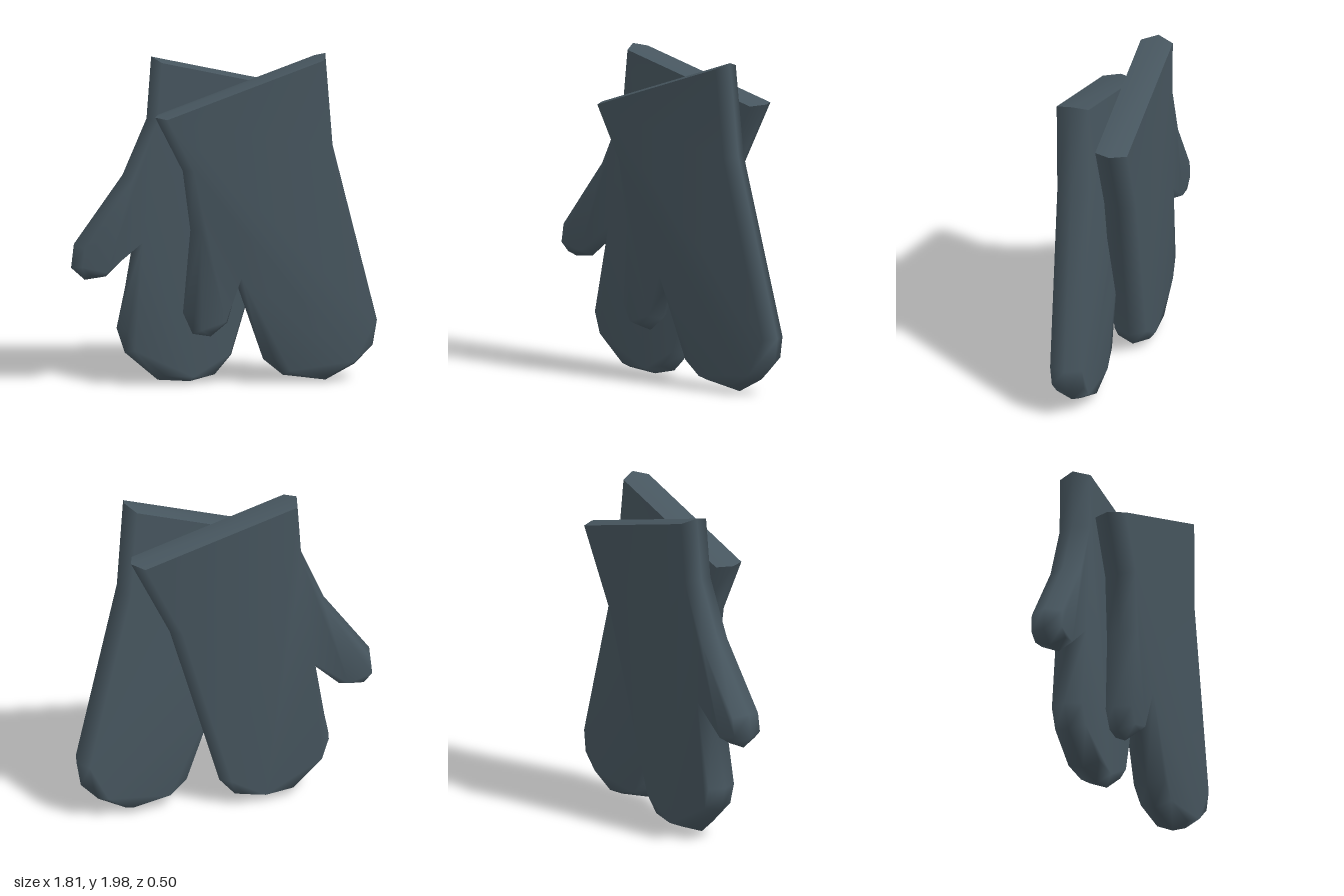
import * as THREE from 'three';

// Ridge outline of one mitten, counter-clockwise; the last edge is the cuff
const OUTLINE = [
  [-0.45, 1.64], [-0.28, 1.31], [-0.23, 0.95], [-0.27, 0.45], [-0.21, 0.32],
  [-0.10, 0.30], [0.0, 0.38], [0.06, 0.60], [0.22, 0.15], [0.34, 0.05],
  [0.60, 0.01], [0.775, 0.10], [0.885, 0.21], [0.91, 0.36], [0.63, 1.43], [0.58, 1.99],
].map(([x, y]) => new THREE.Vector2(x, y));

const HALF = 0.097; // half thickness
const SIDE_INSET = 0.04;
const CUFF_INSET = 0.015;

// Shrinks the outline, with a smaller inset along the cuff
function insetOutline(points) {
  const n = points.length;
  return points.map((p, i) => {
    const a = p.clone().sub(points[(i + n - 1) % n]).normalize();
    const b = points[(i + 1) % n].clone().sub(p).normalize();
    const da = i === 0 ? CUFF_INSET : SIDE_INSET;
    const db = i === n - 1 ? CUFF_INSET : SIDE_INSET;
    const na = new THREE.Vector2(-a.y, a.x);
    const nb = new THREE.Vector2(-b.y, b.x);
    // Meeting point of the two shifted edges
    const det = na.x * nb.y - na.y * nb.x;
    const move = Math.abs(det) < 0.02
      ? na.clone().multiplyScalar(da)
      : new THREE.Vector2((da * nb.y - db * na.y) / det, (na.x * db - nb.x * da) / det);
    return p.clone().add(move.clampLength(0, 0.065));
  });
}

function toGeometry(positions, index) {
  const geometry = new THREE.BufferGeometry();
  geometry.setAttribute('position', new THREE.Float32BufferAttribute(positions, 3));
  geometry.setIndex(index);
  geometry.computeVertexNormals();
  return geometry;
}

function createMitten(name, outline, depthAt, material) {
  const n = outline.length;
  const inner = insetOutline(outline);
  const positions = [];
  // Rings: front face edge, middle ridge, back face edge
  [[inner, HALF], [outline, 0], [inner, -HALF]].forEach(([ring, offset]) =>
    ring.forEach((p) => positions.push(p.x, p.y, depthAt(p) + offset)));

  // Palm, back of hand and bevelled sides
  const index = [];
  THREE.ShapeUtils.triangulateShape(inner, []).forEach(([a, b, c]) => {
    index.push(a, b, c, c + 2 * n, b + 2 * n, a + 2 * n);
  });
  const bevel = (target, i, j) => {
    for (const r of [0, n]) {
      target.push(r + i, r + n + i, r + n + j, r + i, r + n + j, r + j);
    }
  };
  for (let i = 0; i < n - 1; i++) bevel(index, i, i + 1);

  // Cuff edge is its own mesh so that its crease stays sharp
  const cuffIndex = [];
  bevel(cuffIndex, n - 1, 0);

  const group = new THREE.Group();
  group.name = name;
  const body = new THREE.Mesh(toGeometry(positions, index), material);
  body.name = 'mittenBody';
  const cuff = new THREE.Mesh(toGeometry(positions, cuffIndex), material);
  cuff.name = 'cuffEdge';
  group.add(body, cuff);
  return group;
}

export function createModel() {
  const model = new THREE.Group();
  model.name = 'pairOfMittens';
  const fabric = new THREE.MeshStandardMaterial({ color: 0x47565f });
  fabric.name = 'slateFabric';

  // The rear mitten is the same shape turned about its cuff corner
  const corner = OUTLINE[0];
  const shift = new THREE.Vector2(-0.405, 1.965).sub(corner);
  const rear = OUTLINE.map((p) => p.clone().rotateAround(corner, -0.56).add(shift));

  // Each mitten leans slightly away from the other
  model.add(
    createMitten('frontMitten', OUTLINE, (p) => 0.055 + 0.057 * p.x + 0.0335 * p.y, fabric),
    createMitten('rearMitten', rear, (p) => -0.08 + 0.05 * p.x - 0.028 * p.y, fabric),
  );
  return model;
}
